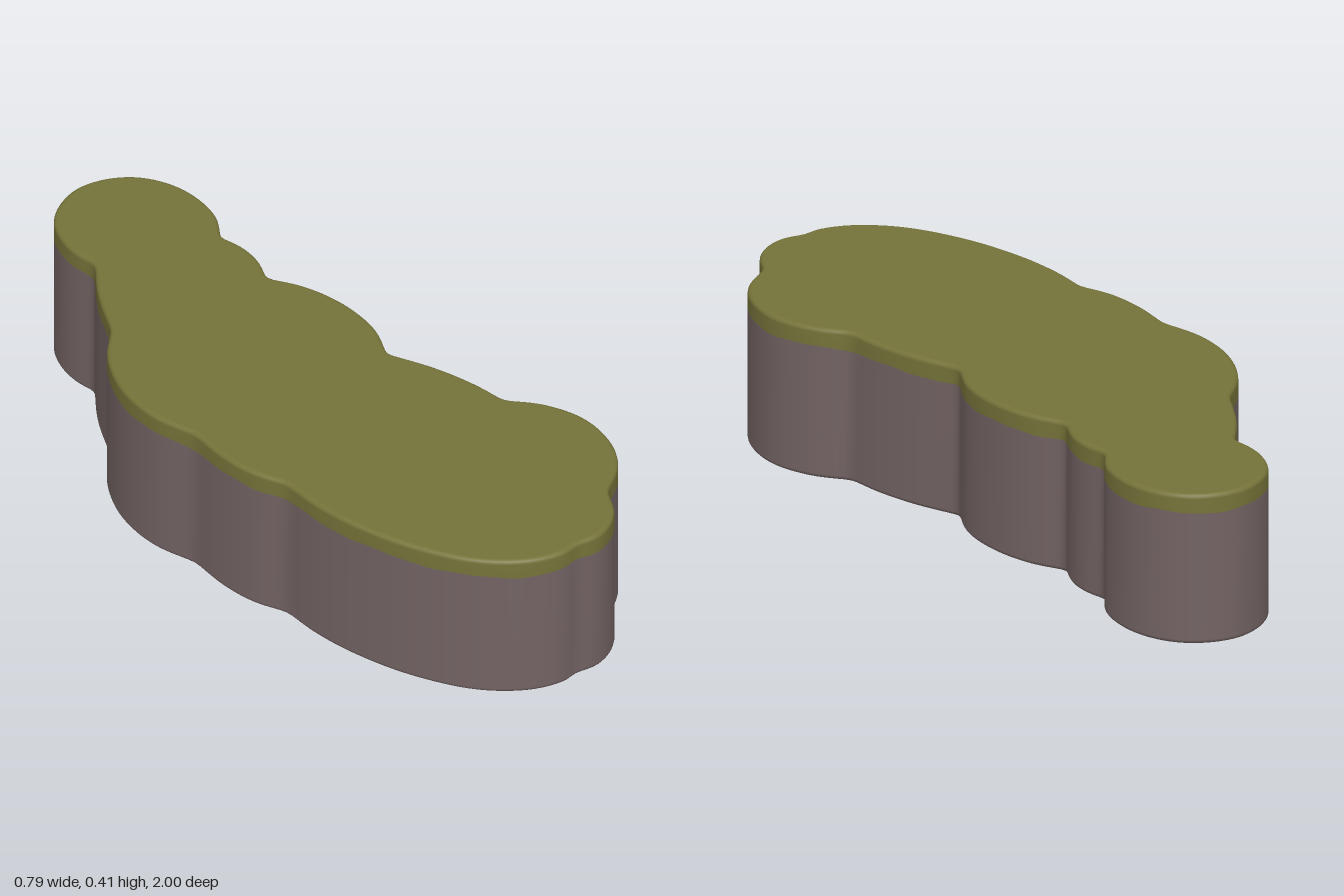
import * as THREE from 'three';

const HEIGHT = 0.415, BEVEL = 0.012, GRASS_LINE = 0.364;

// Rounded lobes of the outline as [x, z]; each ends in the notch where the next one starts
const lobes = [
  [[-0.045, -0.735], [-0.049, -0.8], [-0.034, -0.87], [0.007, -0.94], [0.07, -0.983], [0.145, -1.001], [0.22, -0.984], [0.284, -0.94], [0.327, -0.87], [0.343, -0.78], [0.322, -0.67], [0.267, -0.595]],
  [[0.267, -0.595], [0.277, -0.53], [0.267, -0.46], [0.23, -0.387]],
  [[0.23, -0.387], [0.275, -0.29], [0.294, -0.17], [0.277, -0.04], [0.225, 0.06]],
  [[0.225, 0.06], [0.271, 0.19], [0.295, 0.31], [0.301, 0.41]],
  [[0.301, 0.41], [0.362, 0.495], [0.394, 0.61], [0.372, 0.73], [0.315, 0.815], [0.22, 0.875]],
  [[0.22, 0.875], [0.172, 0.95], [0.115, 0.988], [0.06, 1], [0, 0.986]],
  [[0, 0.986], [-0.04, 0.992], [-0.13, 0.96], [-0.23, 0.865], [-0.31, 0.7], [-0.35, 0.53], [-0.359, 0.4], [-0.35, 0.285]],
  [[-0.35, 0.285], [-0.38, 0.195], [-0.386, 0.09], [-0.37, -0.03]],
  [[-0.37, -0.03], [-0.393, -0.16], [-0.37, -0.3], [-0.3, -0.425], [-0.21, -0.505]],
  [[-0.21, -0.505], [-0.13, -0.635], [-0.045, -0.735]],
];

function makeOutline() {
  let pts = [];
  for (const lobe of lobes) {
    const curve = new THREE.CatmullRomCurve3(lobe.map(([x, z]) => new THREE.Vector3(x, 0, z)));
    const n = Math.ceil(curve.getLength() / 0.018);
    pts.push(...curve.getSpacedPoints(n).slice(0, n));
  }
  // soften the notches slightly
  const n = pts.length;
  return pts.map((p, i) => p.clone().multiplyScalar(2)
    .add(pts[(i + n - 1) % n]).add(pts[(i + 1) % n]).multiplyScalar(0.25));
}

// Outline moved inwards along its normals
function inset(outline, d) {
  const n = outline.length;
  return outline.map((p, i) => {
    const t = outline[(i + 1) % n].clone().sub(outline[(i + n - 1) % n]).normalize();
    return new THREE.Vector3(p.x - t.z * d, 0, p.z + t.x * d);
  });
}

// Closed band through rings from low to high; y may be a function of the position along the outline
function band(outline, rings) {
  const n = outline.length, pos = [], index = [];
  rings.forEach(([y, d], r) => {
    inset(outline, d).forEach((p, i) => pos.push(p.x, typeof y === 'function' ? y(i / n) : y, p.z));
    if (r === 0) return;
    for (let i = 0; i < n; i++) {
      const j = (i + 1) % n, lo = (r - 1) * n, up = r * n;
      index.push(lo + i, up + i, lo + j, lo + j, up + i, up + j);
    }
  });
  const g = new THREE.BufferGeometry();
  g.setAttribute('position', new THREE.Float32BufferAttribute(pos, 3));
  g.setIndex(index);
  g.computeVertexNormals();
  return g;
}

// Flat lid; side is 1 for facing up and -1 for facing down
function lid(outline, y, side) {
  const shape = new THREE.Shape(inset(outline, BEVEL).map(p => new THREE.Vector2(p.x, -side * p.z)));
  return new THREE.ShapeGeometry(shape).rotateX(-side * Math.PI / 2).translate(0, y, 0);
}

export function createModel() {
  const material = (name, color) => {
    const m = new THREE.MeshStandardMaterial({ color });
    m.name = name;
    return m;
  };
  const grass = material('mossGreen', 0x757339);
  const rock = material('brownRock', 0x736363);
  const stone = material('greyUnderside', 0xc0c0c0);

  const group = new THREE.Group();
  group.name = 'rockPlateau';
  const add = (name, geometry, mat) => {
    const mesh = new THREE.Mesh(geometry, mat);
    mesh.name = name;
    group.add(mesh);
  };

  const outline = makeOutline();
  // gently uneven border between rock and grass
  const border = u => GRASS_LINE + 0.002 * Math.sin(u * Math.PI * 38) + 0.001 * Math.sin(u * Math.PI * 86);
  // quarter-round edge profile as [height from the end, inset]
  const round = [0, 1, 2, 3, 4].map(k => {
    const a = k / 4 * Math.PI / 2;
    return [BEVEL * (1 - Math.sin(a)), BEVEL * (1 - Math.cos(a))];
  });
  const foot = round.slice().reverse();

  add('undersideEdge', band(outline, foot.slice(0, 2)), stone);
  add('cliffWall', band(outline, [...foot.slice(1), [border, 0]]), rock);
  add('grassRim', band(outline, [[border, 0], ...round.map(([h, d]) => [HEIGHT - h, d])]), grass);
  add('grassTop', lid(outline, HEIGHT, 1), grass);
  add('underside', lid(outline, 0, -1), stone);
  return group;
}
